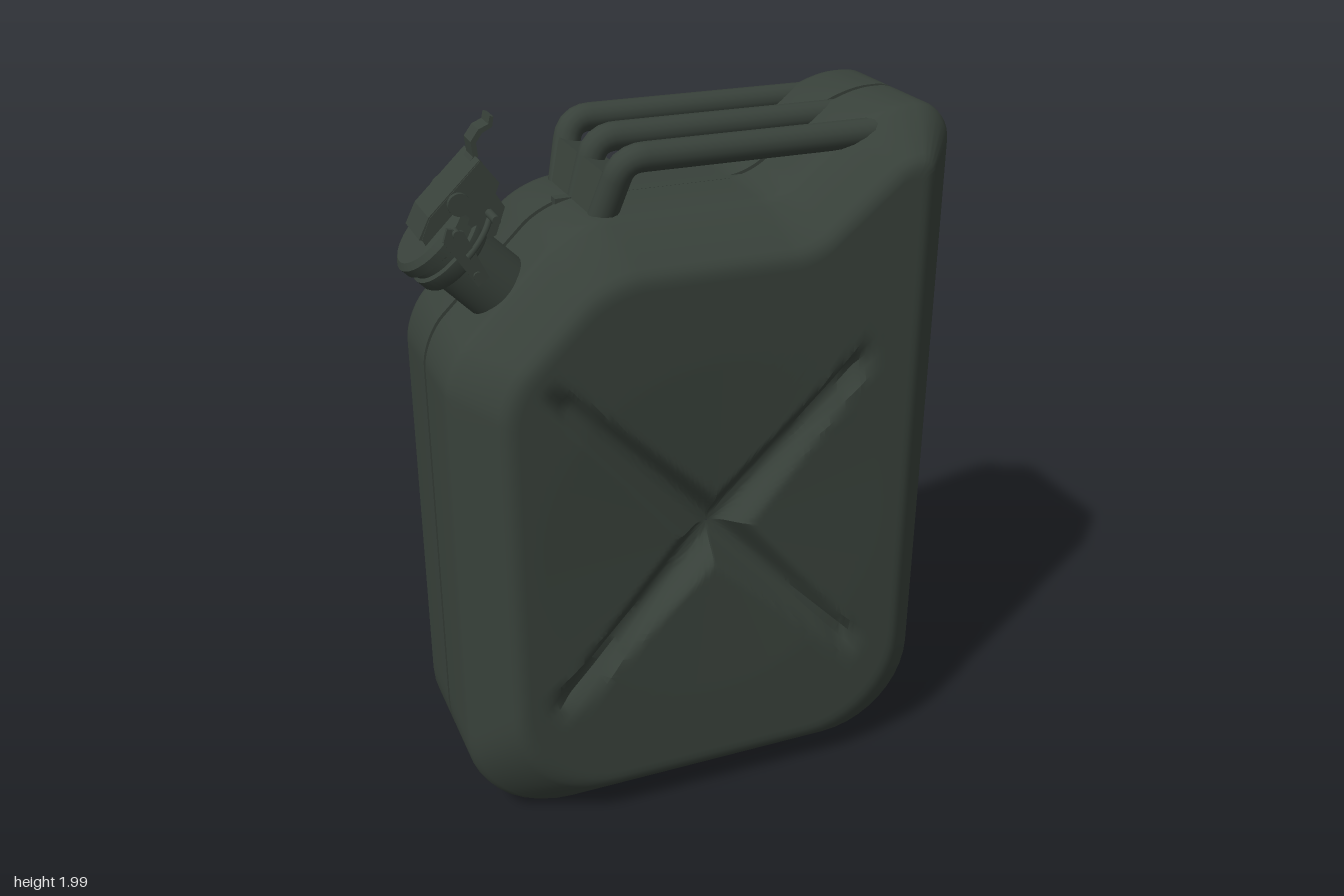
import * as THREE from 'three';
import { toCreasedNormals } from 'three/addons/utils/BufferGeometryUtils.js';

const green = new THREE.MeshStandardMaterial({ color: 0x38413a });
green.name = 'dark olive green';
const V2 = (x, y) => new THREE.Vector2(x, y);

// Can outline, counter-clockwise: x, y, length of corner rounding
const CORNERS = [
  [-0.66, 0, 0.27], [0.72, 0, 0.27], [0.72, 1.935, 0.15], [0.49, 1.935, 0.12],
  [0.24, 1.73, 0.06], [-0.32, 1.73, 0.09], [-0.66, 1.4, 0.08],
];
const CENTRE = V2(0.025, 0.86);
const ARMS = [[-0.44, 1.36], [0.47, 1.34], [-0.46, 0.38], [0.48, 0.38]];

// Outline moved inwards by d, with rounded corners and evenly divided edges
function outline(d) {
  const n = CORNERS.length;
  const raw = CORNERS.map(([x, y]) => V2(x, y));
  const dir = raw.map((p, i) => raw[(i + 1) % n].clone().sub(p).normalize());
  const pts = raw.map((p, i) => {
    const a = dir[(i + n - 1) % n], b = dir[i];
    const k = d / (1 + a.dot(b));
    return V2(p.x - (a.y + b.y) * k, p.y + (a.x + b.x) * k);
  });
  const cut = pts.map((p, i) => Math.min(CORNERS[i][2],
    0.45 * p.distanceTo(pts[(i + 1) % n]), 0.45 * p.distanceTo(pts[(i + n - 1) % n])));
  const out = [];
  pts.forEach((p, i) => {
    const a = dir[(i + n - 1) % n], b = dir[i], t = cut[i], j = (i + 1) % n;
    const at = (u, s) => p.clone().addScaledVector(u, s);
    out.push(...new THREE.CubicBezierCurve(at(a, -t), at(a, -t * 0.45), at(b, t * 0.45), at(b, t)).getPoints(10));
    const from = at(b, t), to = pts[j].clone().addScaledVector(b, -cut[j]);
    const steps = Math.max(3, Math.round(from.distanceTo(to) / 0.03));
    const fixed = [24, 30, 4, 6, 14, 10, 24][i] || steps;
    for (let s = 1; s < fixed; s++) out.push(from.clone().lerp(to, s / fixed));
  });
  return out;
}

// Depth of the pressed cross, deep in the middle and fading along its arms
function crossDepth(x, y) {
  const dx = x - CENTRE.x, dy = y - CENTRE.y;
  let depth = 0;
  for (const [ex, ey] of ARMS) {
    const ax = ex - CENTRE.x, ay = ey - CENTRE.y, len = Math.hypot(ax, ay);
    const s = Math.max(0, (dx * ax + dy * ay) / (len * len));
    if (s > 1) continue;
    const off = Math.hypot(dx - ax * s, dy - ay * s);
    const groove = 1 - THREE.MathUtils.smoothstep(off, 0.008, 0.085 - 0.045 * s);
    depth = Math.max(depth, (0.065 - 0.04 * s) * groove * Math.min(1, (1 - s) * 8));
  }
  return depth + 0.02 * Math.max(0, 1 - Math.hypot(dx, dy) / 0.5);
}

// One pressed half shell: seam, wall, bevel, then the panel with its cross
function halfShell(side) {
  const pos = [], idx = [];
  const sections = [[0, 0.02], [0.009, 0.02], [0.009, 0], [0.185, 0], [0.205, 0.004], [0.225, 0.016],
    [0.318, 0.1], [0.331, 0.114], [0.338, 0.135]];
  let ring;
  for (const [z, d] of sections) {
    ring = outline(d);
    for (const p of ring) pos.push(p.x, p.y, z * side);
  }
  const n = ring.length, K = 40;
  for (let k = 1; k <= K; k++) for (const p of ring) {
    const q = p.clone().lerp(CENTRE, Math.min(k / K, 0.998));
    pos.push(q.x, q.y, (0.338 - crossDepth(q.x, q.y)) * side);
  }
  const quad = (a, b, c, d) => side > 0 ? idx.push(a, b, c, a, c, d) : idx.push(a, c, b, a, d, c);
  for (let r = 0; r < sections.length + K - 1; r++) for (let j = 0; j < n; j++) {
    const j2 = (j + 1) % n;
    quad(r * n + j, r * n + j2, (r + 1) * n + j2, (r + 1) * n + j);
  }
  const g = new THREE.BufferGeometry();
  g.setAttribute('position', new THREE.Float32BufferAttribute(pos, 3));
  g.setIndex(idx);
  return toCreasedNormals(g, 0.6);
}

function add(parent, name, geometry, x = 0, y = 0, z = 0) {
  const m = new THREE.Mesh(geometry, green);
  m.name = name;
  m.position.set(x, y, z);
  parent.add(m);
  return m;
}

// Flat plate cut from a side profile, centred on z
function plate(points, width) {
  const g = new THREE.ExtrudeGeometry(new THREE.Shape(points.map(([x, y]) => V2(x, y))),
    { depth: width, bevelEnabled: false });
  return g.translate(0, 0, -width / 2);
}

function handles() {
  const g = new THREE.Group();
  g.name = 'carryingHandles';
  for (const s of [-1, 0, 1]) {
    const path = new THREE.CurvePath();
    const p = [[-0.235, 1.68, 0.145], [-0.195, 1.83, 0.19], [-0.18, 1.872, 0.2], [-0.13, 1.872, 0.202], [0.54, 1.87, 0.202]]
      .map(([x, y, z]) => new THREE.Vector3(x, y, z * s));
    path.add(new THREE.LineCurve3(p[0], p[1]));
    path.add(new THREE.QuadraticBezierCurve3(p[1], p[2], p[3]));
    path.add(new THREE.LineCurve3(p[3], p[4]));
    add(g, 'handleBar', new THREE.TubeGeometry(path, 48, 0.037, 14));
  }
  // Web joining the front legs of the bars
  add(g, 'handleWeb', plate([[-0.265, 1.7], [-0.19, 1.7], [-0.15, 1.815], [-0.225, 1.835]], 0.33));
  add(g, 'seamBridge', new THREE.BoxGeometry(0.53, 0.03, 0.03), -0.035, 1.7155, 0);
  return g;
}

function spout() {
  const g = new THREE.Group();
  g.name = 'spout';
  g.position.set(-0.495, 1.565, 0.11);
  g.rotation.z = Math.PI / 4;
  // Neck, collar and cap turned in one profile
  const profile = [[0, -0.06], [0.09, -0.06], [0.088, 0.12], [0.108, 0.125], [0.113, 0.135], [0.113, 0.165],
    [0.104, 0.17], [0.104, 0.185], [0.115, 0.19], [0.115, 0.215], [0.1, 0.228], [0, 0.23]];
  add(g, 'neckAndCap', toCreasedNormals(new THREE.LatheGeometry(profile.map(([x, y]) => V2(x, y)), 36), 0.6));
  // Lever cheeks on both sides, with hinge bosses and clasp arms
  for (const s of [-1, 1]) {
    add(g, 'leverCheek', plate([[-0.03, 0.215], [0.03, 0.2], [0.06, 0.13], [0.1, 0.11], [0.165, 0.14],
      [0.175, 0.18], [0.2, 0.19], [0.21, 0.262], [0.03, 0.265], [-0.02, 0.245]], 0.01), 0, 0, s * 0.065);
    add(g, 'hingeBoss', new THREE.CylinderGeometry(0.028, 0.028, 0.016, 18), 0.1, 0.235, s * 0.075).rotation.x = Math.PI / 2;
    add(g, 'claspArm', plate([[-0.02, 0.08], [0.015, 0.075], [0.06, 0.2], [0.04, 0.235], [0.01, 0.22]], 0.012), 0, 0, s * 0.113);
  }
  add(g, 'leverPlate', plate([[-0.02, 0.24], [0.03, 0.256], [0.21, 0.252], [0.21, 0.264], [0.03, 0.268], [-0.025, 0.25]], 0.135));
  // Curled thumb hook
  add(g, 'thumbHook', plate([[0.19, 0.252], [0.215, 0.258], [0.235, 0.283], [0.262, 0.287], [0.288, 0.278], [0.308, 0.292],
    [0.303, 0.3], [0.287, 0.29], [0.262, 0.3], [0.228, 0.295], [0.205, 0.266], [0.19, 0.264]], 0.06));
  // Pins across the clasp
  for (const [x, y, half] of [[0.045, 0.21, 0.132], [0.13, 0.16, 0.132], [0, 0.1, 0.125]])
    add(g, 'pin', new THREE.CylinderGeometry(0.011, 0.011, half * 2, 12), x, y, 0).rotation.x = Math.PI / 2;
  // Wire bail round the neck
  add(g, 'bail', new THREE.TorusGeometry(0.12, 0.008, 8, 28, Math.PI), 0.02, 0.15, 0).rotation.set(Math.PI / 2, 0, -Math.PI / 2);
  return g;
}

export function createModel() {
  const model = new THREE.Group();
  model.name = 'fuelCan';
  add(model, 'frontShell', halfShell(1));
  add(model, 'backShell', halfShell(-1));
  model.add(handles(), spout());
  model.position.x = 0;
  return model;
}
